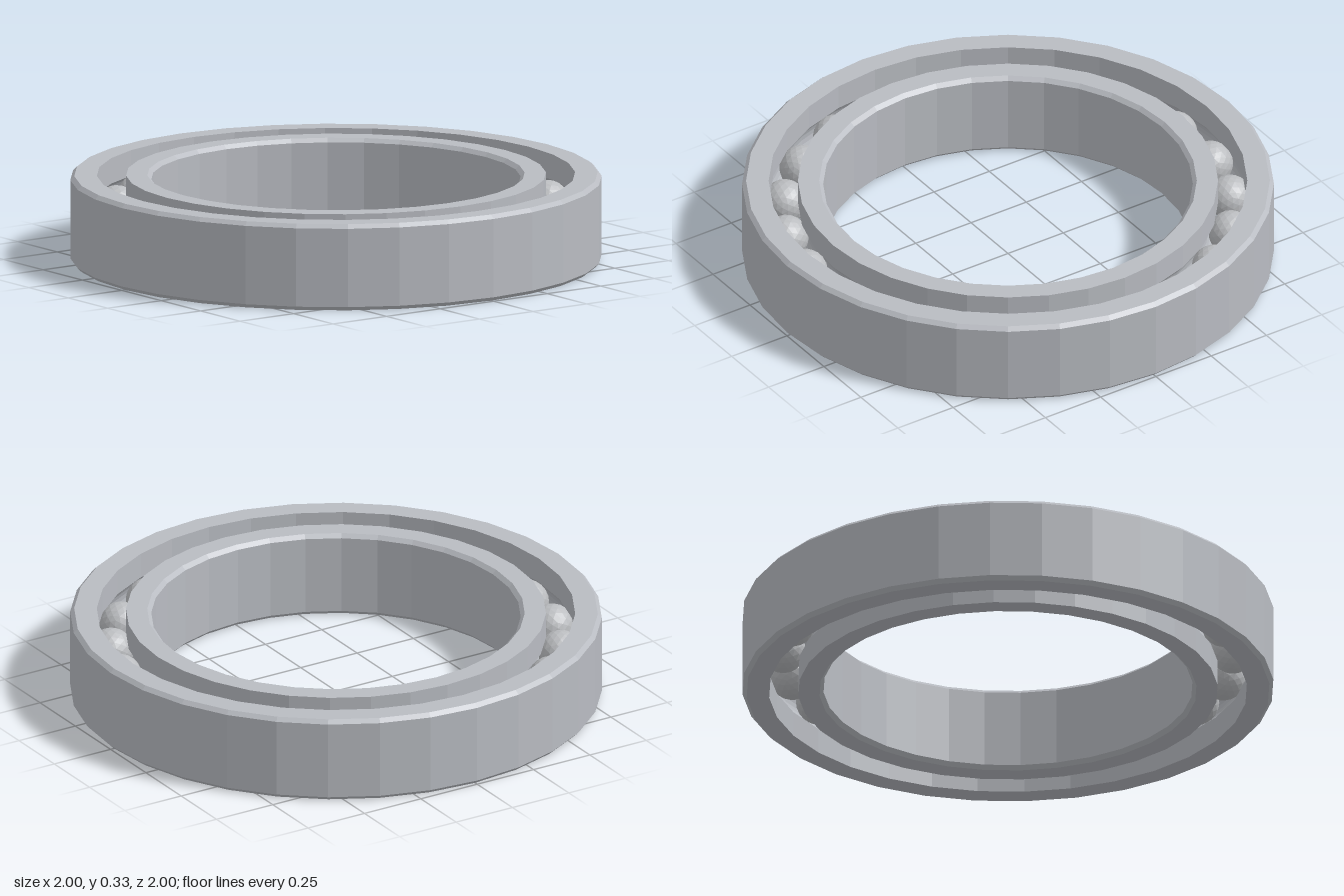
import * as THREE from 'three';

const HEIGHT = 0.33, MID = HEIGHT / 2, BEVEL = 0.015;
const PITCH = 0.845, GROOVE = 0.087, BALL = 0.085, BALLS = 22, SEGMENTS = 32;

// Faceted ring with a bevelled plain wall and a rounded ball groove in the other wall.
// side = 1: plain wall outside; side = -1: plain wall inside.
function ringGeometry(plainR, grooveR, side) {
  const profile = [
    [plainR - side * BEVEL, 0],
    [plainR, BEVEL],
    [plainR, HEIGHT - BEVEL],
    [plainR - side * BEVEL, HEIGHT],
    [grooveR, HEIGHT],
  ];
  const half = Math.acos(Math.abs(grooveR - PITCH) / GROOVE);
  for (let i = 0; i <= 8; i++) {
    const a = half * (1 - i / 4);
    profile.push([PITCH + side * GROOVE * Math.cos(a), MID + GROOVE * Math.sin(a)]);
  }
  profile.push([grooveR, 0], profile[0]);
  if (side < 0) profile.reverse();
  const points = profile.map(([r, y]) => new THREE.Vector2(r, y));
  const geometry = new THREE.LatheGeometry(points, SEGMENTS).toNonIndexed();
  geometry.computeVertexNormals();
  return geometry;
}

export function createModel() {
  const model = new THREE.Group();
  model.name = 'ballBearing';
  const steel = new THREE.MeshStandardMaterial({ color: 0xb9bcc2 });
  steel.name = 'ringSteel';
  const ballSteel = new THREE.MeshStandardMaterial({ color: 0xbbbdc0 });
  ballSteel.name = 'ballSteel';

  // Outer and inner races
  const outerRing = new THREE.Mesh(ringGeometry(1, 0.9, 1), steel);
  outerRing.name = 'outerRing';
  const innerRing = new THREE.Mesh(ringGeometry(0.695, 0.79, -1), steel);
  innerRing.name = 'innerRing';
  model.add(outerRing, innerRing);

  // Faceted balls between the races
  const balls = new THREE.Group();
  balls.name = 'balls';
  const ballGeometry = new THREE.IcosahedronGeometry(BALL, 3);
  ballGeometry.computeVertexNormals();
  for (let i = 0; i < BALLS; i++) {
    const a = (i / BALLS) * Math.PI * 2;
    const ball = new THREE.Mesh(ballGeometry, ballSteel);
    ball.name = `ball${i + 1}`;
    ball.position.set(PITCH * Math.cos(a), MID, PITCH * Math.sin(a));
    ball.rotation.y = -a;
    balls.add(ball);
  }
  model.add(balls);
  return model;
}
